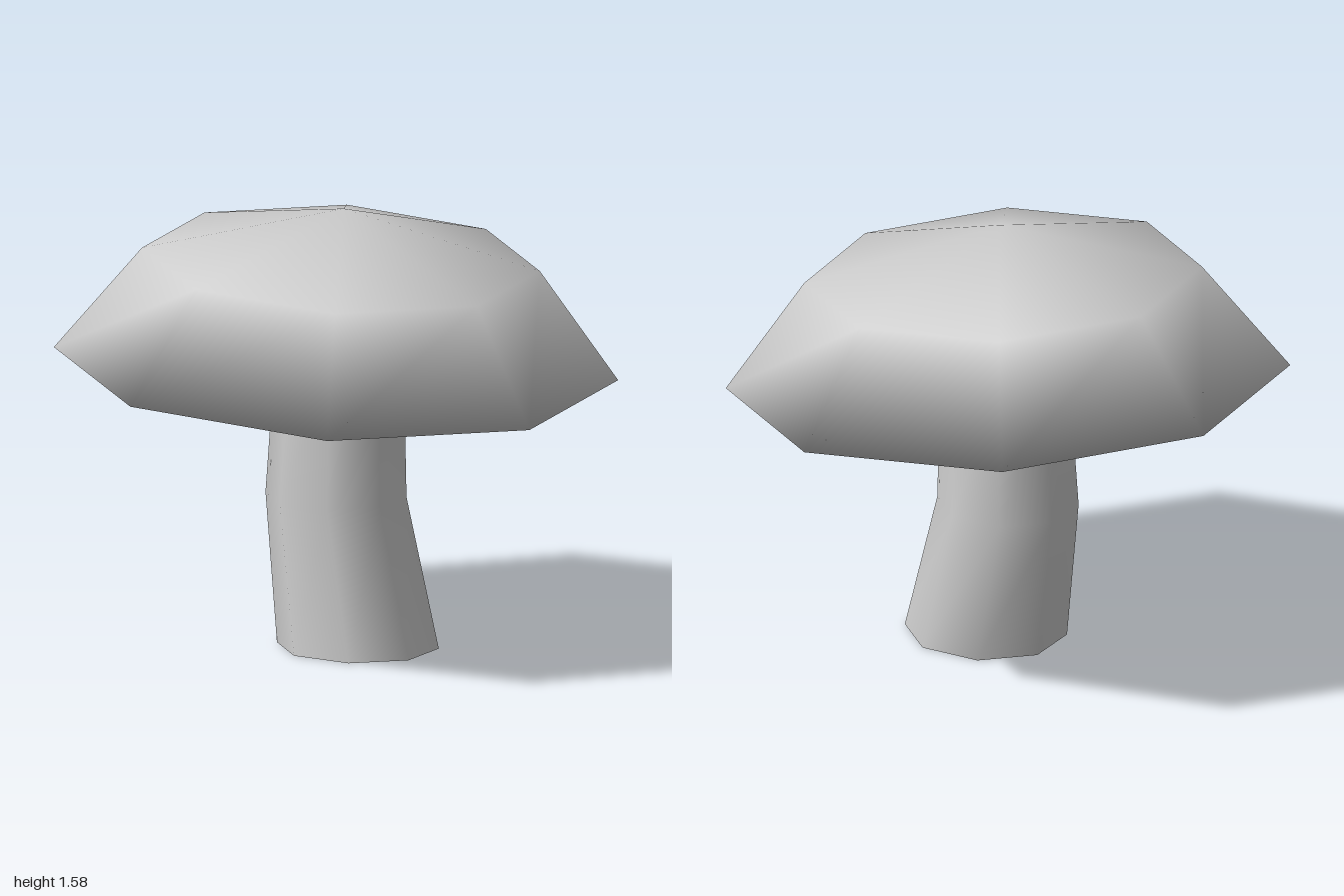
import * as THREE from 'three';

const SIDES = 8;

// One octagonal ring of points; lean tilts the ring along x
function ring({ x, y, rx, rz, lean = 0, twist = 0 }) {
  const pts = [];
  for (let i = 0; i < SIDES; i++) {
    const a = (i / SIDES) * Math.PI * 2 + twist;
    const px = rx * Math.cos(a);
    pts.push(x + px, y + lean * px, rz * Math.sin(a));
  }
  return pts;
}

// Outward-facing walls between consecutive rings
function walls(ringCount) {
  const index = [];
  for (let r = 0; r < ringCount - 1; r++) {
    for (let i = 0; i < SIDES; i++) {
      const j = (i + 1) % SIDES;
      const a = r * SIDES, b = a + SIDES;
      index.push(a + j, a + i, b + i, a + j, b + i, b + j);
    }
  }
  return index;
}

function smoothGeometry(positions, index) {
  const geo = new THREE.BufferGeometry();
  geo.setAttribute('position', new THREE.Float32BufferAttribute(positions, 3));
  geo.setIndex(index);
  geo.computeVertexNormals();
  return geo;
}

function addMesh(group, name, geo, material) {
  const mesh = new THREE.Mesh(geo, material);
  mesh.name = name;
  group.add(mesh);
}

export function createModel() {
  const group = new THREE.Group();
  group.name = 'mushroom';
  const grey = new THREE.MeshStandardMaterial({ color: 0xcccccc, side: THREE.DoubleSide });
  grey.name = 'light grey';

  // Cap: tilted rim, shoulder ring, apex and flat underside
  const capPoints = [
    ...ring({ x: 0, y: 1.005, rx: 1, rz: 1, lean: -0.075 }),
    ...ring({ x: 0.025, y: 1.388, rx: 0.705, rz: 0.705, lean: -0.075 }),
    0.04, 1.575, 0,
  ];
  const capIndex = walls(2);
  for (let i = 0; i < SIDES; i++) {
    capIndex.push(SIDES + ((i + 1) % SIDES), SIDES + i, 2 * SIDES);
  }
  capIndex.push(6, 7, 0, 6, 0, 1, 5, 6, 1, 4, 5, 1, 4, 1, 2, 2, 3, 4);
  addMesh(group, 'cap', smoothGeometry(capPoints, capIndex), grey);

  // Stem: bent open tube, ending just inside the cap
  const twist = 0.115;
  const stemPoints = [
    ...ring({ x: 0.113, y: 0, rx: 0.298, rz: 0.28, twist }),
    ...ring({ x: 0, y: 0.53, rx: 0.257, rz: 0.247, twist }),
    ...ring({ x: 0.018, y: 1.03, rx: 0.234, rz: 0.226, twist }),
  ];
  addMesh(group, 'stem', smoothGeometry(stemPoints, walls(3)), grey);

  return group;
}
